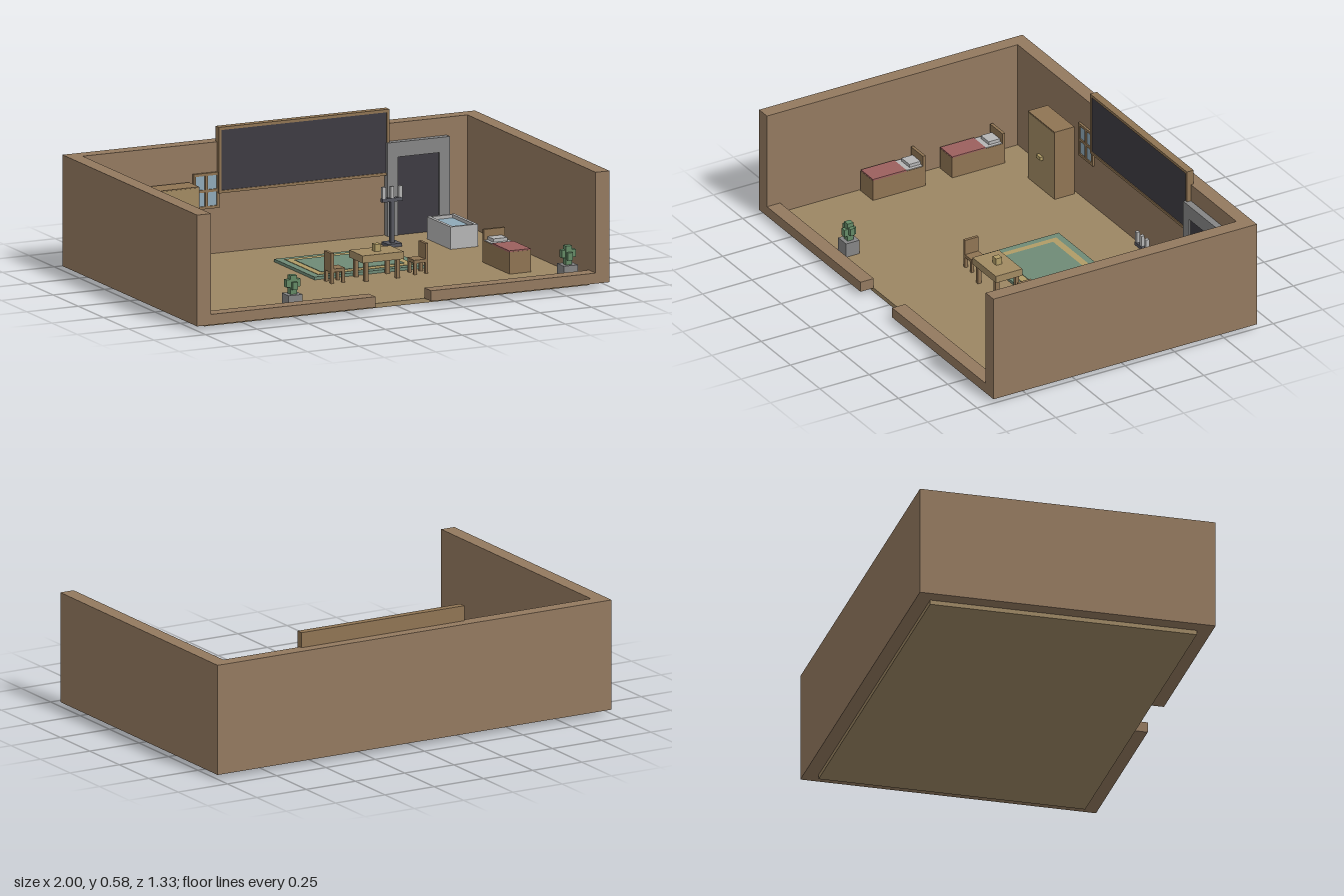
import * as THREE from 'three';

const COLORS = {
  wall: 0x93795f, floor: 0x9c8663, wood: 0x8f7453, paleWood: 0xa18a62, dark: 0x3d3b42,
  stone: 0x858585, white: 0xb5b5b5, glass: 0x8fa9b8, red: 0x9c605e, green: 0x6f8a76,
  gold: 0xb09c66, leaf: 0x648a66, iron: 0x55565e,
};
const materials = {};
for (const key in COLORS) materials[key] = new THREE.MeshStandardMaterial({ color: COLORS[key] });

// Box given by its lower and upper limits on each axis
function box(parent, name, color, [x0, x1], [y0, y1], [z0, z1]) {
  const mesh = new THREE.Mesh(new THREE.BoxGeometry(x1 - x0, y1 - y0, z1 - z0), materials[color]);
  mesh.position.set((x0 + x1) / 2, (y0 + y1) / 2, (z0 + z1) / 2);
  mesh.name = name;
  parent.add(mesh);
  return mesh;
}

function group(parent, name, x = 0, y = 0, z = 0) {
  const g = new THREE.Group();
  g.name = name;
  g.position.set(x, y, z);
  parent.add(g);
  return g;
}

const Y = 0.02; // floor level

// Bed with its head towards -z; x, z mark the centre of the head end
function addBed(parent, x, z) {
  const bed = group(parent, 'bed', x, Y, z);
  box(bed, 'bedBase', 'wood', [-0.052, 0.052], [0, 0.098], [0.01, 0.268]);
  box(bed, 'headboard', 'wood', [-0.052, 0.052], [0, 0.148], [0, 0.014]);
  box(bed, 'sheet', 'white', [-0.05, 0.05], [0.096, 0.101], [0.014, 0.098]);
  box(bed, 'blanket', 'red', [-0.052, 0.052], [0.096, 0.104], [0.098, 0.267]);
  box(bed, 'pillow', 'white', [-0.034, 0.034], [0.1, 0.116], [0.016, 0.072]);
}

// Chair with its back on the -x side
function addChair(parent, x, z, turn) {
  const chair = group(parent, 'chair', x, Y, z);
  chair.rotation.y = turn;
  box(chair, 'seat', 'wood', [-0.034, 0.034], [0.05, 0.065], [-0.034, 0.034]);
  for (const sx of [-0.027, 0.027]) for (const sz of [-0.027, 0.027])
    box(chair, 'chairLeg', 'wood', [sx - 0.007, sx + 0.007], [0, 0.05], [sz - 0.007, sz + 0.007]);
  box(chair, 'chairBack', 'wood', [-0.034, -0.02], [0.065, 0.135], [-0.034, 0.034]);
}

// Potted cactus
function addPlant(parent, x, z) {
  const plant = group(parent, 'plant', x, Y, z);
  box(plant, 'pot', 'stone', [-0.034, 0.034], [0, 0.066], [-0.034, 0.034]);
  box(plant, 'stem', 'leaf', [-0.015, 0.015], [0.066, 0.15], [-0.015, 0.015]);
  for (const s of [-1, 1]) {
    const sort = (a, b) => (s > 0 ? [a, b] : [-b, -a]);
    box(plant, 'sideLeaf', 'leaf', sort(0.012, 0.034), [0.098, 0.132], [-0.012, 0.012]);
    box(plant, 'frontLeaf', 'leaf', [-0.012, 0.012], [0.088, 0.122], sort(0.012, 0.03));
  }
}

export function createModel() {
  const room = new THREE.Group();
  room.name = 'room';

  // Shell: floor slab, tall walls on three sides, low front wall with a gap
  box(room, 'floor', 'floor', [-0.933, 0.933], [0, Y], [-0.603, 0.6]);
  box(room, 'backWall', 'wall', [-1, 1], [Y, 0.517], [-0.667, -0.603]);
  for (const s of [-1, 1]) {
    const span = (a, b) => (s > 0 ? [a, b] : [-b, -a]);
    box(room, 'sideWall', 'wall', span(0.933, 1), [Y, 0.517], [-0.603, 0.667]);
    box(room, 'lowFrontWall', 'wall', span(0.135, 0.933), [Y, 0.067], [0.6, 0.667]);
  }

  // Framed dark board on the back wall
  const board = group(room, 'board');
  box(board, 'boardPanel', 'dark', [-0.27, 0.533], [0.3, 0.573], [-0.612, -0.587]);
  box(board, 'frameTop', 'wood', [-0.282, 0.545], [0.572, 0.585], [-0.617, -0.583]);
  box(board, 'frameBottom', 'wood', [-0.282, 0.545], [0.29, 0.302], [-0.617, -0.583]);
  for (const x of [-0.282, 0.533])
    box(board, 'frameSide', 'wood', [x, x + 0.012], [0.302, 0.572], [-0.617, -0.583]);
  box(board, 'boardBacking', 'wood', [-0.27, 0.533], [0.302, 0.572], [-0.617, -0.611]);

  // Stone fireplace with a dark opening
  const fire = group(room, 'fireplace');
  for (const x of [0.53, 0.782])
    box(fire, 'firePost', 'stone', [x, x + 0.05], [Y, 0.37], [-0.603, -0.572]);
  box(fire, 'lintel', 'stone', [0.53, 0.832], [0.37, 0.437], [-0.603, -0.572]);
  box(fire, 'fireOpening', 'dark', [0.58, 0.782], [Y, 0.37], [-0.603, -0.58]);

  // Window with four panes
  const win = group(room, 'window', -0.338, 0.304, -0.6);
  box(win, 'glass', 'glass', [-0.055, 0.055], [-0.072, 0.072], [-0.003, 0.002]);
  for (const x of [-0.056, 0, 0.056])
    box(win, 'windowUpright', 'wood', [x - 0.006, x + 0.006], [-0.08, 0.08], [-0.003, 0.008]);
  for (const y of [-0.074, 0, 0.074])
    box(win, 'windowRail', 'wood', [-0.062, 0.062], [y - 0.006, y + 0.006], [-0.003, 0.0075]);

  // Wardrobe
  const wardrobe = group(room, 'wardrobe');
  box(wardrobe, 'wardrobeBody', 'wood', [-0.652, -0.424], [Y, 0.353], [-0.588, -0.488]);
  box(wardrobe, 'wardrobeDoor', 'paleWood', [-0.648, -0.428], [Y + 0.004, 0.349], [-0.49, -0.486]);
  box(wardrobe, 'wardrobeHandle', 'gold', [-0.555, -0.52], [0.17, 0.187], [-0.487, -0.472]);

  // Beds
  addBed(room, -0.872, -0.472);
  addBed(room, -0.872, -0.07);
  addBed(room, 0.73, 0.065);

  // Bathtub
  const tub = group(room, 'bathtub', 0.73, Y, -0.338);
  for (const s of [-1, 1]) {
    const span = (a, b) => (s > 0 ? [a, b] : [-b, -a]);
    box(tub, 'tubSide', 'white', span(0.052, 0.067), [0, 0.1], [-0.117, 0.117]);
    box(tub, 'tubEnd', 'white', [-0.052, 0.052], [0, 0.1], span(0.103, 0.117));
  }
  box(tub, 'water', 'glass', [-0.052, 0.052], [0, 0.085], [-0.103, 0.103]);

  // Rug with a pale band
  const rug = group(room, 'rug', 0.132, Y, -0.137);
  box(rug, 'rugBase', 'green', [-0.267, 0.267], [0, 0.013], [-0.2, 0.2]);
  box(rug, 'rugBand', 'gold', [-0.233, 0.233], [0.01, 0.015], [-0.167, 0.167]);
  box(rug, 'rugCentre', 'green', [-0.202, 0.202], [0.01, 0.017], [-0.133, 0.133]);

  // Table and chairs
  const table = group(room, 'table', 0.132, Y, 0.132);
  box(table, 'tableTop', 'paleWood', [-0.1, 0.1], [0.085, 0.118], [-0.067, 0.067]);
  for (const x of [-0.076, 0.076]) for (const z of [-0.05, 0.05])
    box(table, 'tableLeg', 'wood', [x - 0.009, x + 0.009], [0, 0.085], [z - 0.009, z + 0.009]);
  box(table, 'tableBox', 'gold', [-0.015, 0.015], [0.118, 0.15], [-0.015, 0.015]);
  addChair(room, -0.07, 0.13, 0);
  addChair(room, 0.333, 0.13, Math.PI);

  // Candle stand
  const stand = group(room, 'candleStand', 0.467, Y, -0.402);
  box(stand, 'standBase', 'iron', [-0.034, 0.034], [0, 0.015], [-0.034, 0.034]);
  box(stand, 'standPole', 'iron', [-0.009, 0.009], [0.015, 0.2], [-0.009, 0.009]);
  box(stand, 'standArm', 'iron', [-0.05, 0.05], [0.198, 0.214], [-0.01, 0.01]);
  for (const x of [-0.04, 0, 0.04])
    box(stand, 'candle', 'white', [x - 0.008, x + 0.008], [0.214, 0.265], [-0.008, 0.008]);

  // Plants beside the front wall
  addPlant(room, -0.47, 0.527);
  addPlant(room, 0.865, 0.527);

  return room;
}
